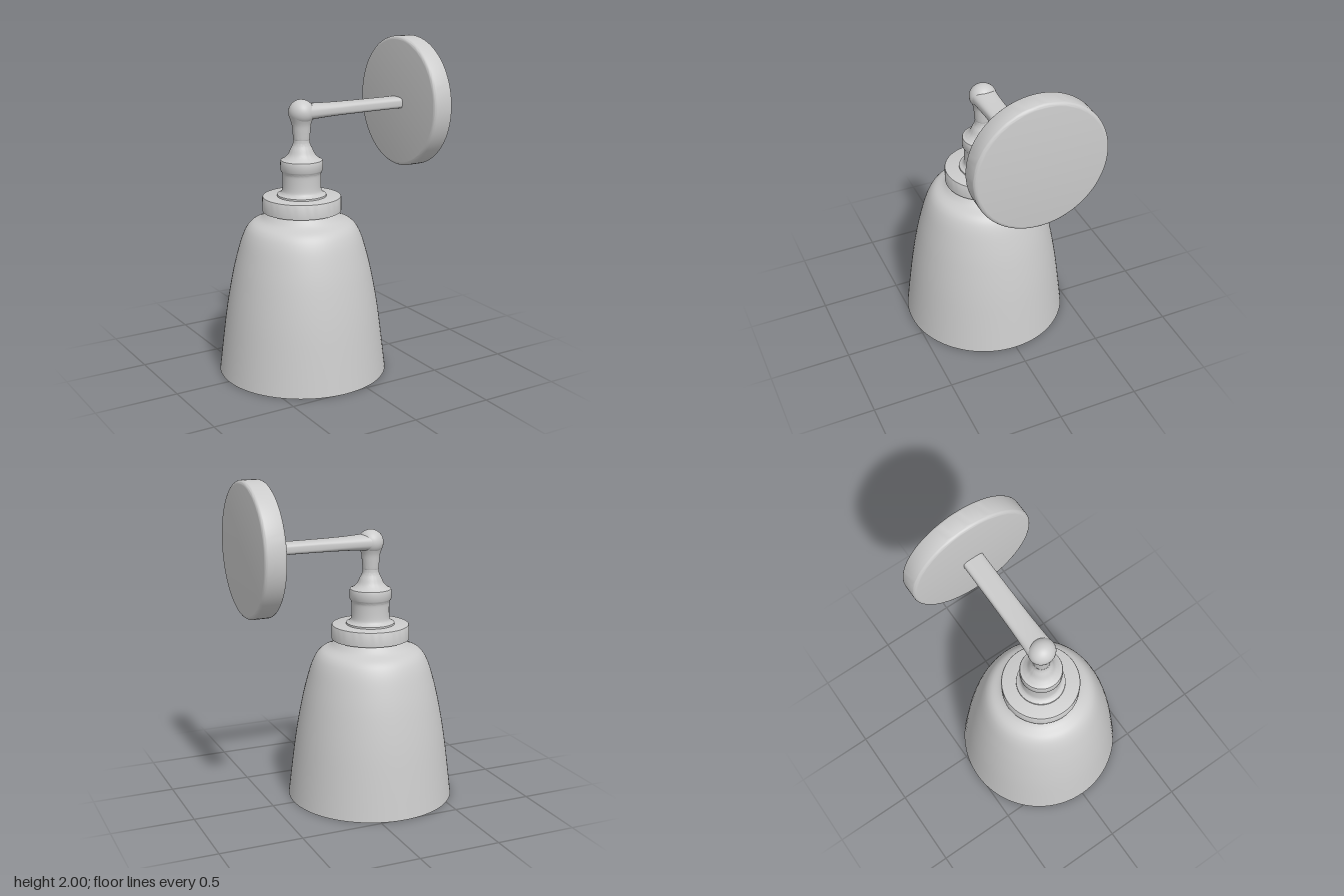
import * as THREE from 'three';
import { mergeVertices, toCreasedNormals } from 'three/addons/utils/BufferGeometryUtils.js';

const AXIS_X = -0.15; // vertical axis of shade, socket and elbow
const grey = new THREE.MeshStandardMaterial({ color: 0xcccccc });
const greyThin = new THREE.MeshStandardMaterial({ color: 0xcccccc, side: THREE.DoubleSide });

const vectors = (pairs) => pairs.map(([r, y]) => new THREE.Vector2(r, y));
const smooth = (pairs, n) => new THREE.SplineCurve(vectors(pairs)).getPoints(n)
  .map((p) => new THREE.Vector2(Math.max(p.x, 0), p.y));

// Turned part; profile points run from bottom to top
function turned(points, segments = 64) {
  return toCreasedNormals(new THREE.LatheGeometry(points, segments), 0.6);
}

// Horizontal arm: a tube reshaped to a flattened, rounded-square section
function armGeometry(x0, x1, centreY) {
  let g = new THREE.CylinderGeometry(1, 1, 1, 40, 16, true);
  g.rotateZ(-Math.PI / 2);
  g.deleteAttribute('uv');
  g.deleteAttribute('normal');
  const p = g.attributes.position;
  const square = (v, e) => Math.sign(v) * Math.abs(v) ** e;
  for (let i = 0; i < p.count; i++) {
    const t = p.getX(i) + 0.5;
    const flare = (1 - t) ** 4;
    const e = 0.85 - 0.3 * Math.min(1, t * 2);
    p.setXYZ(i, x0 + (x1 - x0) * t,
      centreY + square(p.getY(i), e) * (0.034 + 0.018 * flare),
      square(p.getZ(i), e) * (0.066 + 0.013 * flare));
  }
  g = mergeVertices(g);
  g.computeVertexNormals();
  return g;
}

export function createModel() {
  const model = new THREE.Group();
  const add = (name, geometry, x = AXIS_X, y = 0, material = grey) => {
    const mesh = new THREE.Mesh(geometry, material);
    mesh.name = name;
    mesh.position.set(x, y, 0);
    model.add(mesh);
    return mesh;
  };

  // Open bell shade
  add('shade', new THREE.LatheGeometry(smooth([
    [0.512, 0], [0.467, 0.36], [0.425, 0.6], [0.386, 0.76], [0.35, 0.865],
    [0.31, 0.922], [0.245, 0.957], [0.2, 1.005],
  ], 40), 80), AXIS_X, 0, greyThin);

  // Globe bulb hanging inside the shade
  add('bulb', new THREE.LatheGeometry(smooth([
    [0, 0.25], [0.08, 0.267], [0.155, 0.325], [0.198, 0.42], [0.192, 0.52],
    [0.15, 0.63], [0.105, 0.74], [0.088, 0.84], [0.085, 1.0],
  ], 40), 48));

  // Collar ring that holds the shade
  add('collar', turned(vectors([
    [0, 1.0], [0.237, 1.0], [0.237, 1.082], [0.234, 1.088], [0.228, 1.09], [0, 1.09],
  ])));

  // Lamp socket with flared foot and domed shoulder
  add('socket', turned([
    ...vectors([[0.148, 1.09], [0.147, 1.1]]),
    ...smooth([[0.135, 1.104], [0.121, 1.118], [0.116, 1.145], [0.115, 1.2], [0.117, 1.23], [0.127, 1.25]], 16),
    ...vectors([[0.127, 1.3], [0.124, 1.309]]),
    ...smooth([[0.11, 1.315], [0.083, 1.34], [0.066, 1.375], [0.052, 1.405], [0.049, 1.43]], 14),
  ]));

  // Neck flaring up into the elbow
  add('neck', turned(smooth([
    [0.046, 1.425], [0.049, 1.435], [0.053, 1.48], [0.058, 1.525], [0.074, 1.57],
  ], 16), 48));

  // Rounded elbow joint
  add('elbow', new THREE.SphereGeometry(0.076, 40, 28), AXIS_X, 1.594).scale.z = 1.08;

  // Arm reaching to the wall
  add('arm', armGeometry(AXIS_X, 0.54, 1.595), 0);

  // Wall plate with softened edges
  const half = 0.066, radius = 0.4, bevel = 0.022;
  const edge = [];
  for (const [start, side] of [[-Math.PI / 2, -1], [0, 1]]) {
    for (let i = 0; i <= 6; i++) {
      const a = start + (i / 6) * Math.PI / 2;
      edge.push(new THREE.Vector2(radius - bevel + bevel * Math.cos(a),
        side * (half - bevel) + bevel * Math.sin(a)));
    }
  }
  const plate = turned([new THREE.Vector2(0, -half), ...edge, new THREE.Vector2(0, half)], 80);
  add('wallPlate', plate.rotateZ(-Math.PI / 2), 0.593, 1.6);

  return model;
}
